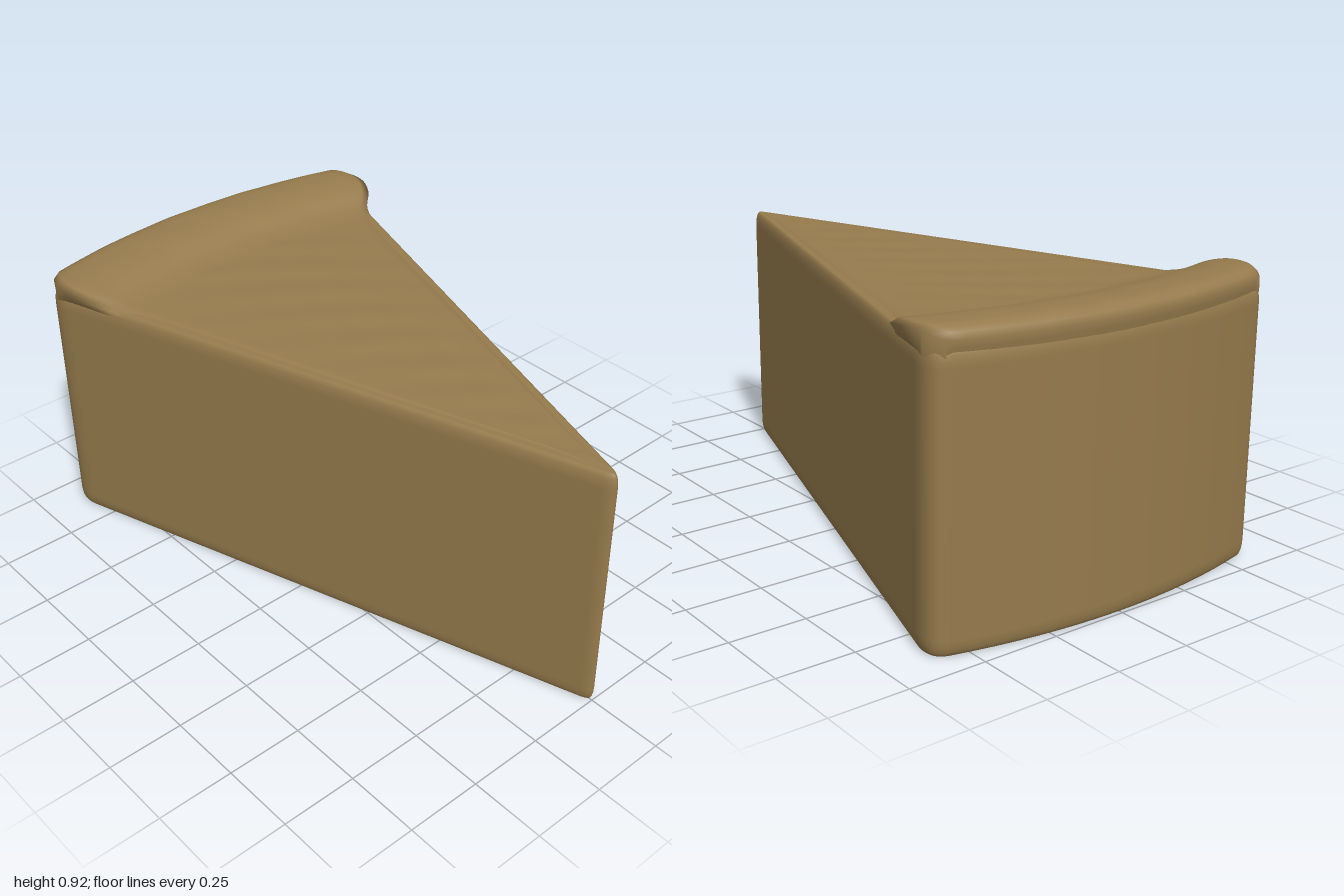
import * as THREE from 'three';
import { mergeVertices } from 'three/addons/utils/BufferGeometryUtils.js';

// Shared vertices give area-weighted normals: flat sides, softly rounded edges
function smooth(geometry) {
  geometry.deleteAttribute('uv');
  geometry.deleteAttribute('normal');
  const merged = mergeVertices(geometry, 1e-4);
  merged.computeVertexNormals();
  return merged;
}

// Wedge with a rounded tip, rounded rear corners and a curved back
function wedgeGeometry() {
  const s = new THREE.Shape();
  s.moveTo(-0.025, -0.97);
  s.quadraticCurveTo(0, -1.03, 0.025, -0.97);
  s.lineTo(0.6, 0.81);
  s.quadraticCurveTo(0.635, 0.91, 0.56, 0.93);
  s.quadraticCurveTo(0, 1.07, -0.56, 0.93);
  s.quadraticCurveTo(-0.635, 0.91, -0.6, 0.81);
  s.closePath();
  const bevel = 0.05, height = 0.857;
  const g = new THREE.ExtrudeGeometry(s, {
    depth: height - 2 * bevel, steps: 1, curveSegments: 16,
    bevelThickness: bevel, bevelSize: 0.014, bevelOffset: -0.014, bevelSegments: 4,
  });
  g.translate(0, 0, bevel);
  g.rotateX(-Math.PI / 2);
  return smooth(g);
}

// Top skin: arcs swept from the tip to the back, swelling into the raised crust
function topGeometry() {
  const centreZ = 1.14;
  // radius, half width, height
  const stations = [
    [0.2, 0.02, 0.858], [1.0, 0.268, 0.86], [1.75, 0.495, 0.86], [1.82, 0.525, 0.862],
    [1.88, 0.552, 0.873], [1.94, 0.6, 0.9], [2.0, 0.625, 0.914], [2.06, 0.628, 0.917],
    [2.11, 0.61, 0.913], [2.14, 0.585, 0.893], [2.135, 0.575, 0.835],
  ].map(p => new THREE.Vector3(...p));
  const rows = new THREE.CatmullRomCurve3(stations).getSpacedPoints(90);
  const inner = 32;
  const positions = [], index = [];
  const cols = inner + 5;

  rows.forEach(({ x: r, y: w, z: y }) => {
    const edgeZ = centreZ - Math.sqrt(r * r - w * w);
    const body = 0.025 + 0.323 * (0.97 - edgeZ);
    const base = Math.max(0.005, Math.min(body, w) - 0.004);
    const shoulder = w - Math.min(0.025, w * 0.4);
    const put = (half, h) => {
      const a = Math.asin(half / r);
      positions.push(r * Math.sin(a), h, centreZ - r * Math.cos(a));
    };
    put(-base, Math.min(y, 0.835));
    put(-w, y - 0.014);
    for (let j = 0; j <= inner; j++) {
      const t = (j / inner) * 2 - 1;
      const x = shoulder * t;
      // gentle baked ripples, fading at the edges and over the crust
      const fade = (1 - t * t) * (r < 1.8 ? 1 : 0.4);
      const ripple = Math.sin(23 * x + 31 * r) + Math.sin(41 * x - 19 * r + 1.3) * Math.sin(13 * r);
      put(x, y + 0.0016 * fade * ripple);
    }
    put(w, y - 0.014);
    put(base, Math.min(y, 0.835));
  });

  for (let i = 0; i < rows.length - 1; i++) {
    for (let j = 0; j < cols - 1; j++) {
      const a = i * cols + j, b = a + 1, c = a + cols, d = c + 1;
      index.push(a, b, c, b, d, c);
    }
  }
  const g = new THREE.BufferGeometry();
  g.setAttribute('position', new THREE.Float32BufferAttribute(positions, 3));
  g.setIndex(index);
  g.computeVertexNormals();
  return g;
}

export function createModel() {
  const model = new THREE.Group();
  model.name = 'pieSlice';
  const baked = new THREE.MeshStandardMaterial({ color: 0x967b4d });
  baked.name = 'baked brown';

  const body = new THREE.Mesh(wedgeGeometry(), baked);
  body.name = 'sliceBody';
  const top = new THREE.Mesh(topGeometry(), baked);
  top.name = 'topAndCrust';
  model.add(body, top);
  return model;
}
